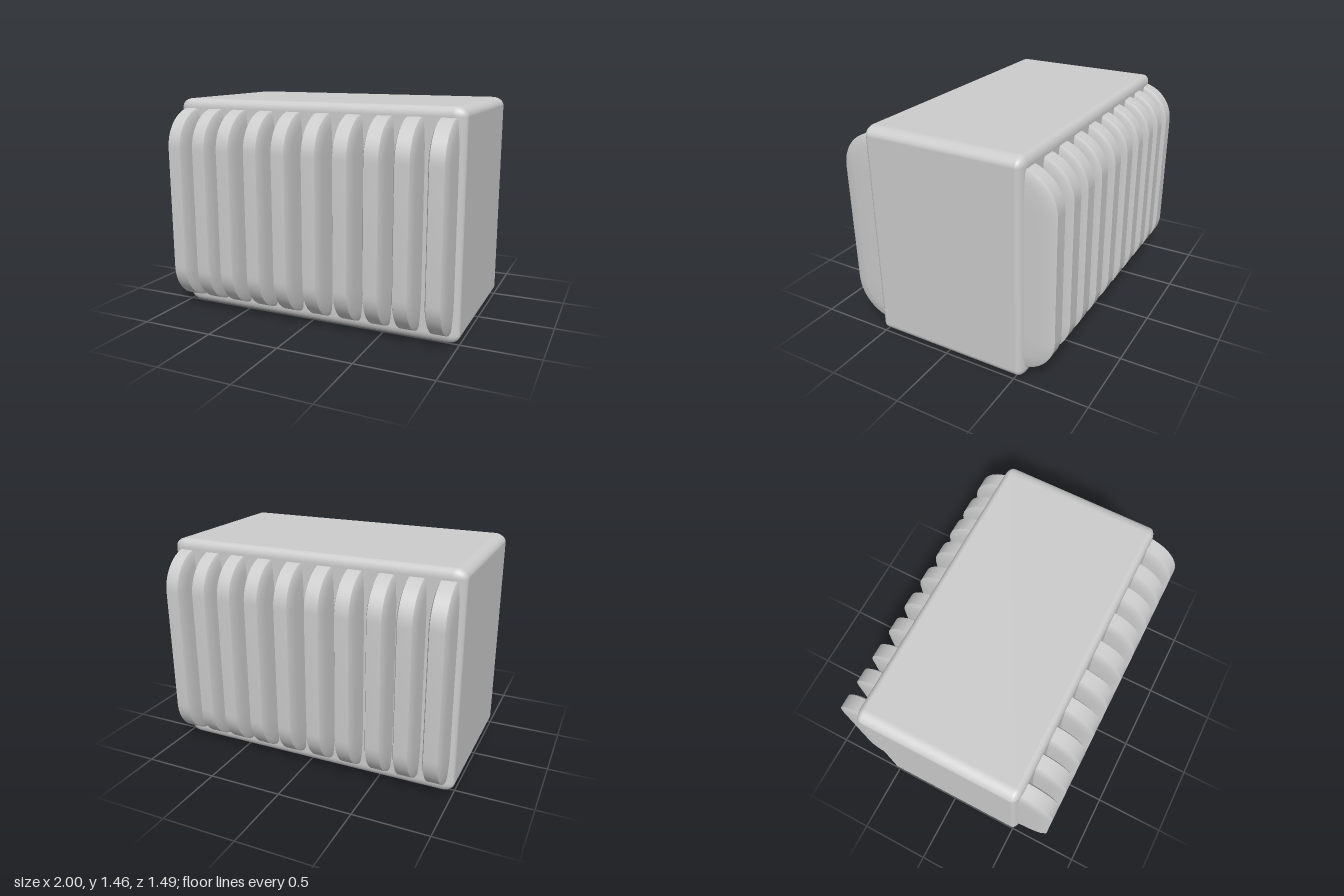
import * as THREE from 'three';
import { RoundedBoxGeometry } from 'three/addons/geometries/RoundedBoxGeometry.js';
import { toCreasedNormals } from 'three/addons/utils/BufferGeometryUtils.js';

const CENTER_Y = 0.728;

// Rounded-rectangle loop in the zy plane, shrunk by an inset
function finLoop(x, inset) {
  const r = 0.26 - inset, cz = 0.745 - 0.26, cy = 0.667 - 0.26;
  const points = [];
  for (let corner = 0; corner < 4; corner++) {
    const sz = corner === 0 || corner === 3 ? 1 : -1;
    const sy = corner < 2 ? 1 : -1;
    for (let k = 0; k <= 14; k++) {
      const a = (corner + k / 14) * Math.PI / 2;
      points.push([x, sy * cy + r * Math.sin(a), sz * cz + r * Math.cos(a)]);
    }
  }
  return points;
}

// Fin: flat rim with sides that swell towards the body
function finGeometry() {
  const half = [[0.045, 0], [0.055, 0.02], [0.061, 0.08], [0.065, 0.15], [0.067, 0.24]];
  const sections = [...half.map(([x, i]) => [-x, i]).reverse(), ...half];
  const loops = sections.map(([x, inset]) => finLoop(x, inset));
  const count = loops[0].length;
  const index = [];
  for (let i = 0; i < loops.length - 1; i++) {
    for (let j = 0; j < count; j++) {
      const a = i * count + j, c = i * count + (j + 1) % count;
      index.push(a, a + count, c, c, a + count, c + count);
    }
  }
  const geometry = new THREE.BufferGeometry();
  geometry.setAttribute('position', new THREE.Float32BufferAttribute(loops.flat(2), 3));
  geometry.setIndex(index);
  return toCreasedNormals(geometry, 0.6);
}

export function createModel() {
  const model = new THREE.Group();
  model.name = 'finnedBlock';
  const grey = new THREE.MeshStandardMaterial({ color: 0xcccccc });
  grey.name = 'light grey';

  // Body, stretched so the rounding differs along each axis
  const bodyGeometry = new RoundedBoxGeometry(1.5, 1.455, 1.447, 6, 0.06);
  bodyGeometry.scale(4 / 3, 1, 0.75);
  const body = new THREE.Mesh(bodyGeometry, grey);
  body.name = 'body';
  body.position.set(0, CENTER_Y, -0.012);
  model.add(body);

  // Slightly uneven row of fins passing through the body
  const fins = new THREE.Group();
  fins.name = 'fins';
  const geometry = finGeometry();
  for (const x of [-0.9, -0.71, -0.525, -0.32, -0.12, 0.09, 0.3, 0.5, 0.69, 0.895]) {
    const fin = new THREE.Mesh(geometry, grey);
    fin.name = 'fin';
    fin.position.set(x, CENTER_Y, 0);
    fins.add(fin);
  }
  model.add(fins);
  return model;
}
